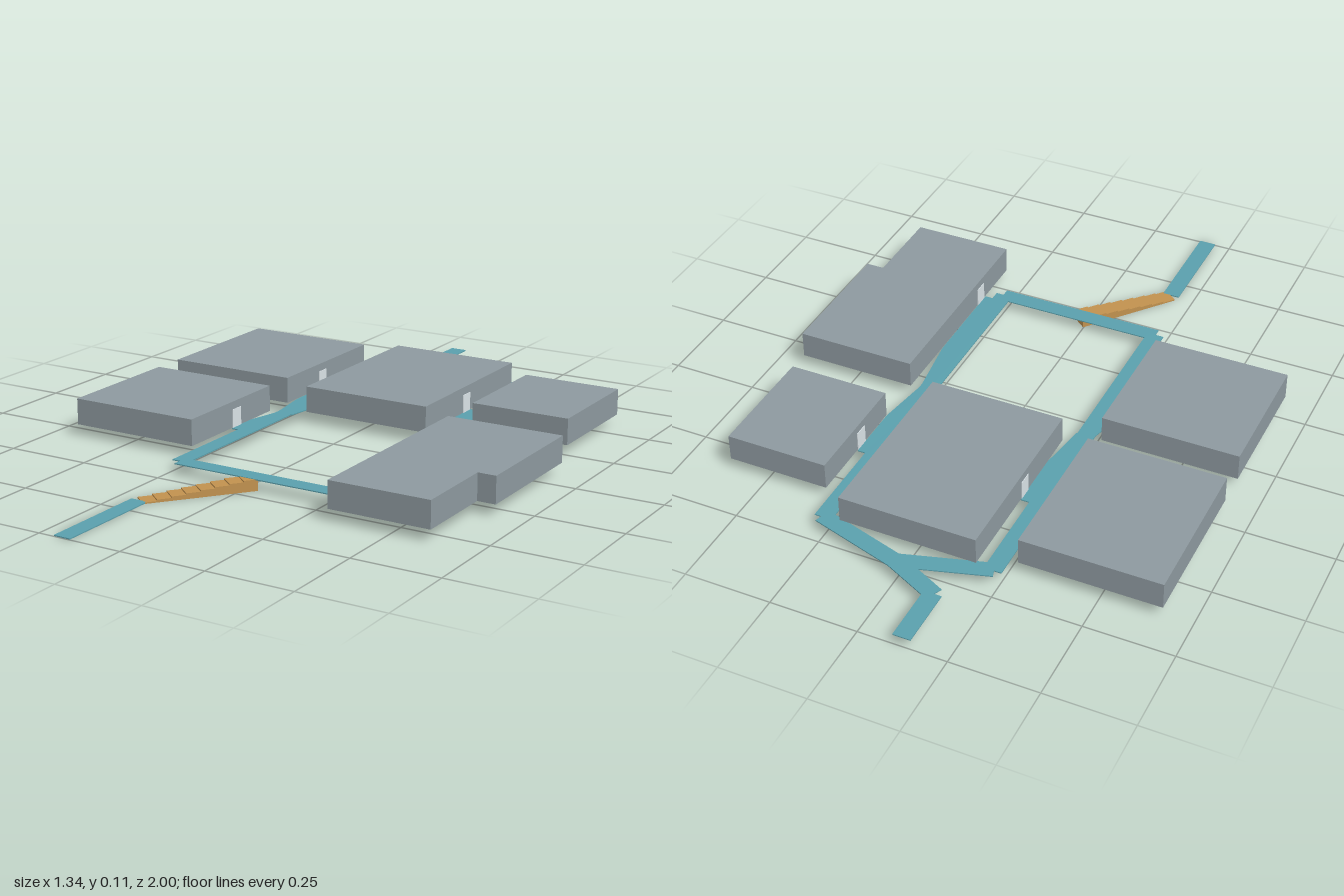
import * as THREE from 'three';

const material = (name, color, extra = {}) => new THREE.MeshStandardMaterial({ name, color, ...extra });

export function createModel() {
  const model = new THREE.Group();
  model.name = 'siteLayout';
  const wall = material('slateGrey', 0x8d999f);
  const paving = material('pathTeal', 0x5aa0ad);
  const timber = material('stairTan', 0xc2924f);
  const doorPaint = material('doorPale', 0xdce5e9);

  const BASE = 0.033, ROOF = 0.11, THICK = 0.003, WIDTH = 0.05;

  // Extrude a plan outline of [x, z] points between two heights
  function slab(name, outline, y0, y1, mat) {
    const shape = new THREE.Shape(outline.map(([x, z]) => new THREE.Vector2(x, -z)));
    const geo = new THREE.ExtrudeGeometry(shape, { depth: y1 - y0, bevelEnabled: false });
    geo.rotateX(-Math.PI / 2);
    const mesh = new THREE.Mesh(geo, mat);
    mesh.position.y = y0;
    mesh.name = name;
    model.add(mesh);
  }
  const rect = (x0, x1, z0, z1) => [[x0, z0], [x0, z1], [x1, z1], [x1, z0]];

  // Straight path strip between two plan points
  function strip(name, [ax, az], [bx, bz], y = BASE - THICK) {
    const length = Math.hypot(bx - ax, bz - az);
    const mesh = new THREE.Mesh(new THREE.BoxGeometry(WIDTH, THICK, length), paving);
    mesh.position.set((ax + bx) / 2, y + THICK / 2, (az + bz) / 2);
    mesh.rotation.y = Math.atan2(bx - ax, bz - az);
    mesh.name = name;
    model.add(mesh);
  }

  // Buildings
  const buildings = {
    rightRearBuilding: rect(-0.67, -0.272, -0.637, -0.187),
    rightFrontBuilding: rect(-0.67, -0.272, -0.09, 0.307),
    centralBuilding: rect(-0.175, 0.222, -0.683, -0.137),
    leftRearBuilding: rect(0.318, 0.614, -0.584, -0.238),
    leftFrontBuilding: [[0.318, -0.09], [0.318, 0.555], [0.614, 0.555], [0.614, 0.307], [0.667, 0.307], [0.667, -0.09]],
  };
  for (const [name, outline] of Object.entries(buildings)) slab(name, outline, BASE, ROOF, wall);

  // Doors: thin plates on the walls facing the paths
  for (const [x, z] of [[-0.272, -0.385], [-0.272, 0.085], [-0.175, -0.385], [0.222, -0.385], [0.318, -0.385], [0.318, 0.37]]) {
    const door = new THREE.Mesh(new THREE.BoxGeometry(0.004, 0.054, 0.042), doorPaint);
    door.position.set(x, BASE + 0.027, z);
    door.name = 'door';
    model.add(door);
  }

  // Upper path loop and rear approach
  strip('rightPath', [-0.225, -0.69], [-0.225, 0.43]);
  strip('leftPath', [0.268, -0.69], [0.268, 0.43]);
  strip('frontPath', [-0.225, 0.43], [0.27, 0.43]);
  strip('rearPathRight', [0.03, -0.763], [-0.228, -0.686]);
  strip('rearPathLeft', [0.0, -0.766], [0.272, -0.686]);
  strip('rearLink', [-0.128, -0.83], [0.015, -0.762]);
  strip('rearApproach', [-0.125, -1], [-0.125, -0.83]);

  // Wide landings beside the doors
  for (const [name, cx] of [['rightLanding', -0.2225], ['leftLanding', 0.2685]]) {
    const w = 0.048, n = 0.025;
    slab(name, [[cx - w, -0.41], [cx - w, -0.24], [cx - n, -0.09], [cx + n, -0.09], [cx + w, -0.24], [cx + w, -0.41]],
      BASE - THICK, BASE, paving);
  }
  slab('rightDoorLanding', [[-0.248, -0.09], [-0.272, 0.01], [-0.272, 0.11], [-0.24, 0.11]], BASE - THICK, BASE, paving);
  slab('leftDoorLanding', [[0.29, -0.09], [0.28, 0.4], [0.317, 0.4], [0.317, 0.11]], BASE - THICK, BASE, paving);

  // Lower approach
  strip('lowerPath', [-0.178, 0.68], [-0.178, 1], 0.001);

  // Solid stair climbing from the lower path to the loop
  const stair = new THREE.Group();
  stair.name = 'stair';
  const STEPS = 8, run = Math.hypot(0.198, 0.244), tread = run / STEPS;
  for (let i = 0; i < STEPS; i++) {
    const height = (BASE - 0.001) * (i + 1) / STEPS;
    const step = new THREE.Mesh(new THREE.BoxGeometry(WIDTH, height, tread), timber);
    step.position.set(0, height / 2, (i + 0.5) * tread);
    step.name = 'step';
    stair.add(step);
  }
  stair.position.set(-0.177, 0, 0.678);
  stair.rotation.y = Math.atan2(0.198, -0.244);
  model.add(stair);

  return model;
}
